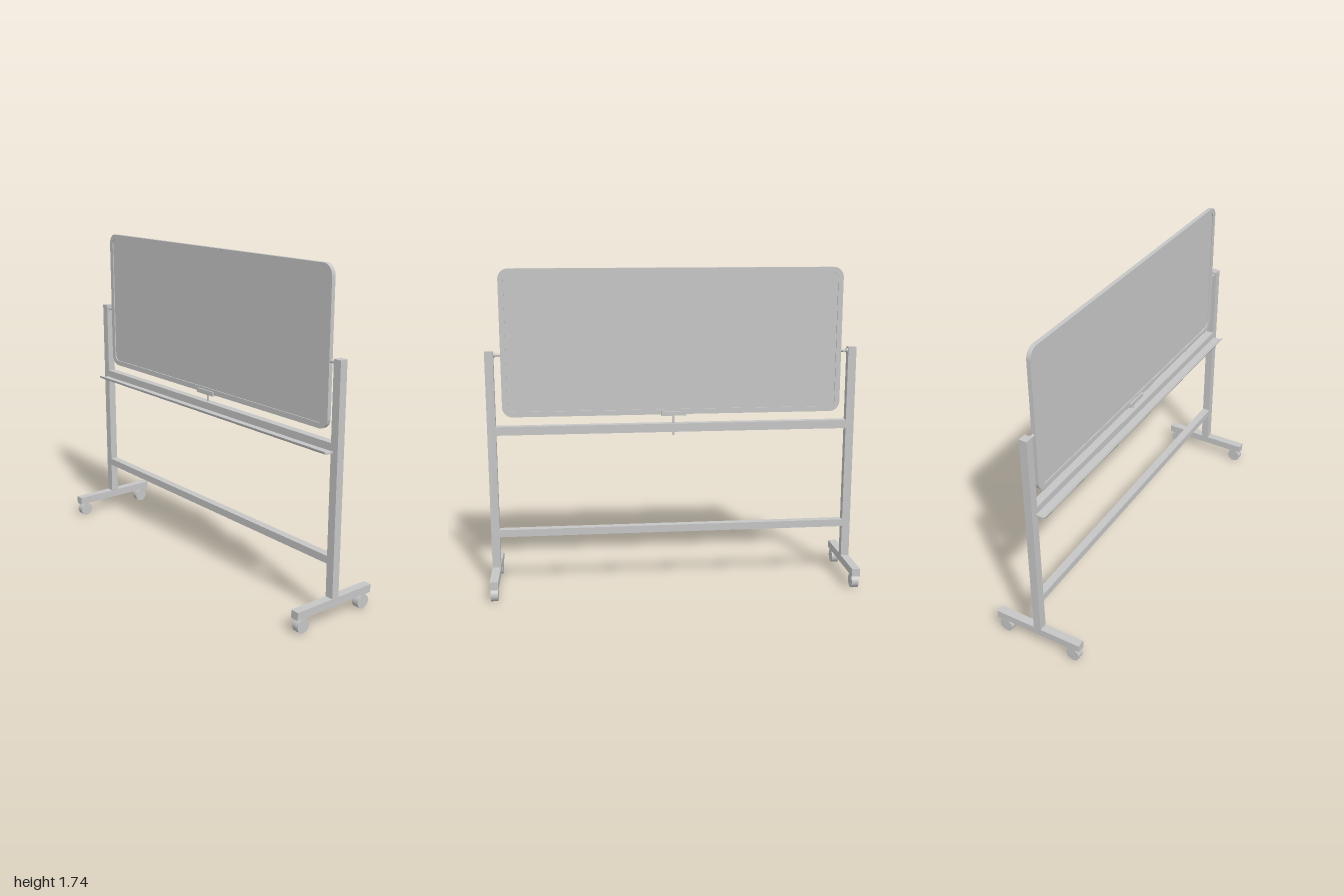
import * as THREE from 'three';
import { toCreasedNormals } from 'three/addons/utils/BufferGeometryUtils.js';

const grey = new THREE.MeshStandardMaterial({ color: 0xc6c6c6 });
grey.name = 'light grey metal';

function roundedRect(target, w, h, r) {
  const x = w / 2, y = h / 2;
  target.moveTo(-x + r, -y);
  target.lineTo(x - r, -y);
  target.absarc(x - r, -y + r, r, -Math.PI / 2, 0);
  target.lineTo(x, y - r);
  target.absarc(x - r, y - r, r, 0, Math.PI / 2);
  target.lineTo(-x + r, y);
  target.absarc(-x + r, y - r, r, Math.PI / 2, Math.PI);
  target.lineTo(-x, -y + r);
  target.absarc(-x + r, -y + r, r, Math.PI, Math.PI * 1.5);
  return target;
}

// Extrusion centred on its depth, with crisp edges
function extrude(shape, depth) {
  const geo = new THREE.ExtrudeGeometry(shape, { depth, bevelEnabled: false, curveSegments: 10 });
  geo.translate(0, 0, -depth / 2);
  return toCreasedNormals(geo, 0.6);
}

export function createModel() {
  const model = new THREE.Group();
  model.name = 'rollingWhiteboard';

  const add = (name, geo, x = 0, y = 0, z = 0, parent = model) => {
    const mesh = new THREE.Mesh(geo, grey);
    mesh.name = name;
    mesh.position.set(x, y, z);
    parent.add(mesh);
  };
  const box = (name, w, h, d, x, y, z, parent) => add(name, new THREE.BoxGeometry(w, h, d), x, y, z, parent);
  // Cylinder lying along x
  const axle = (name, r, len, x, y, z, parent) =>
    add(name, new THREE.CylinderGeometry(r, r, len, 32).rotateZ(Math.PI / 2), x, y, z, parent);

  // Board: rounded rim around a recessed two-sided panel
  const boardY = 1.348, boardZ = 0.002;
  const rim = roundedRect(new THREE.Shape(), 1.836, 0.785, 0.055);
  rim.holes.push(roundedRect(new THREE.Path(), 1.78, 0.729, 0.03));
  add('boardRim', extrude(rim, 0.022), 0, boardY, boardZ);
  add('boardPanel', extrude(roundedRect(new THREE.Shape(), 1.784, 0.733, 0.031), 0.01), 0, boardY, boardZ);

  // Stand sides: post, foot, pivot and casters
  for (const s of [-1, 1]) {
    const side = new THREE.Group();
    side.name = s > 0 ? 'leftStand' : 'rightStand';
    model.add(side);
    box('post', 0.045, 1.19, 0.043, s * 0.9775, 0.715, 0, side);
    box('foot', 0.045, 0.043, 0.502, s * 0.9775, 0.0985, 0, side);
    axle('pivotPin', 0.008, 0.05, s * 0.937, 1.29, 0, side);
    axle('pivotCollar', 0.013, 0.01, s * 0.951, 1.29, 0, side);
    for (const z of [-0.203, 0.21]) {
      axle('casterWheel', 0.0375, 0.038, s * 0.9785, 0.0375, z, side);
      add('casterStem', new THREE.CylinderGeometry(0.008, 0.008, 0.03, 12), s * 0.9785, 0.065, z, side);
    }
  }

  // Cross rails
  box('upperRail', 1.914, 0.046, 0.043, 0, 0.883, 0);
  box('lowerRail', 1.914, 0.04, 0.043, 0, 0.313, 0);

  // Pen tray: thin shelf with an upturned front lip, drawn as (z, y)
  const tray = new THREE.Shape();
  tray.moveTo(0.02, 0.86);
  tray.lineTo(0.06, 0.86);
  tray.quadraticCurveTo(0.078, 0.86, 0.078, 0.877);
  tray.lineTo(0.072, 0.877);
  tray.quadraticCurveTo(0.072, 0.867, 0.06, 0.867);
  tray.lineTo(0.02, 0.867);
  add('penTray', extrude(tray, 1.94).rotateY(-Math.PI / 2));

  // U-shaped latch holding the lower edge of the board, drawn as (z, y)
  const channel = new THREE.Shape([
    [-0.02, 0.949], [0.024, 0.949], [0.024, 0.973], [0.015, 0.973],
    [0.015, 0.955], [-0.011, 0.955], [-0.011, 0.973], [-0.02, 0.973],
  ].map(([z, y]) => new THREE.Vector2(z, y)));
  add('latchChannel', extrude(channel, 0.136).rotateY(-Math.PI / 2));
  add('latchRod', new THREE.CylinderGeometry(0.005, 0.005, 0.11, 14), 0, 0.897, 0);
  add('latchKnob', new THREE.SphereGeometry(0.007, 14, 10), 0, 0.845, 0);

  return model;
}
